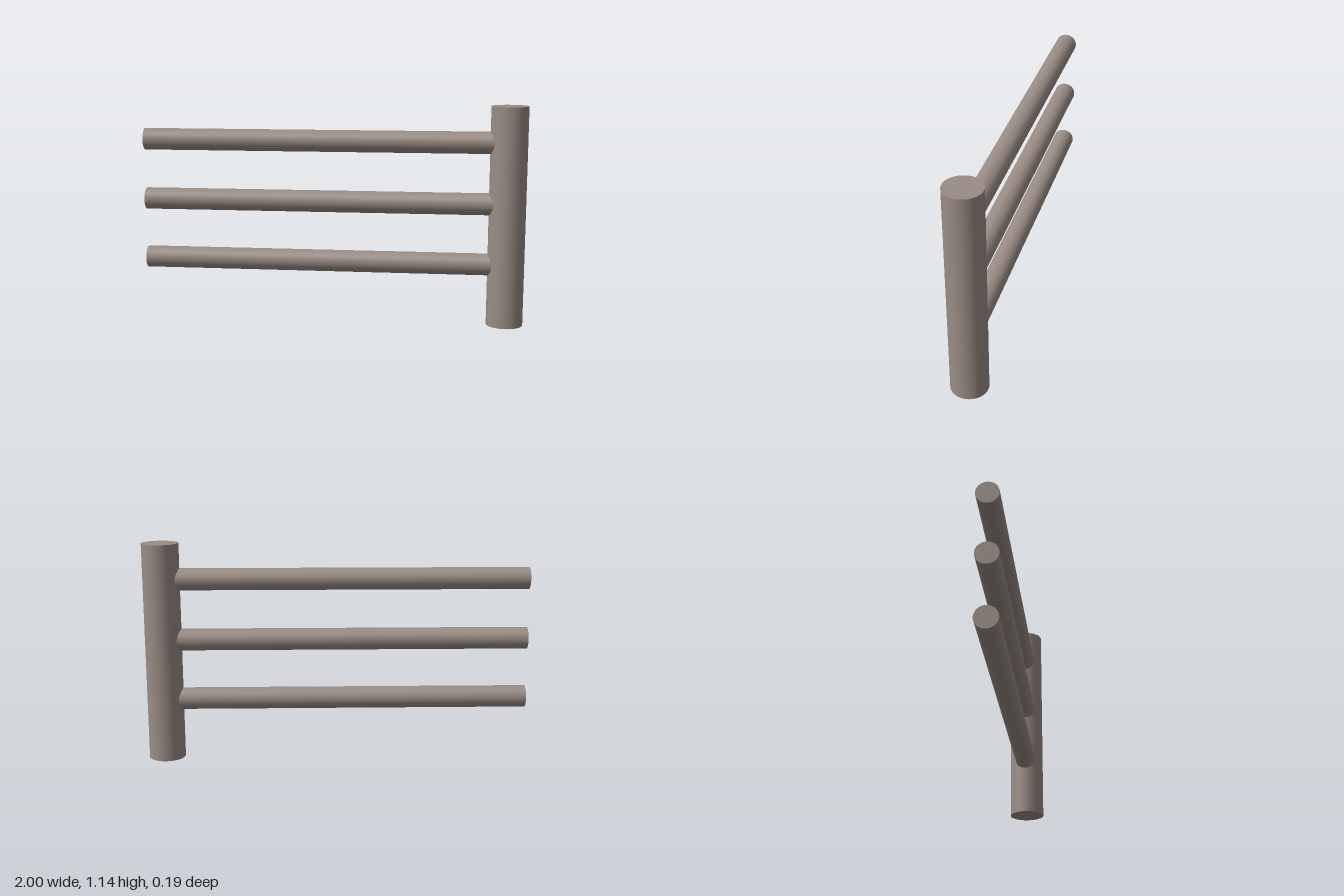
import * as THREE from 'three';

export function createModel() {
  const model = new THREE.Group();
  model.name = 'fenceSection';
  const wood = new THREE.MeshStandardMaterial({ color: 0x9a8c84 });
  wood.name = 'weathered wood';

  // Upright post at the left end
  const postRadius = 0.095, postHeight = 1.143, postX = 1 - postRadius;
  const post = new THREE.Mesh(
    new THREE.CylinderGeometry(postRadius, postRadius, postHeight, 48), wood);
  post.name = 'post';
  post.position.set(postX, postHeight / 2, 0);
  model.add(post);

  // Three round rails running from the open end into the post
  const railRadius = 0.057, railLength = postX + 1;
  const railGeometry = new THREE.CylinderGeometry(railRadius, railRadius, railLength, 40);
  railGeometry.rotateZ(Math.PI / 2);
  ['lowerRail', 'middleRail', 'upperRail'].forEach((name, i) => {
    const rail = new THREE.Mesh(railGeometry, wood);
    rail.name = name;
    rail.position.set(-1 + railLength / 2, 0.319 + i * 0.318, 0);
    model.add(rail);
  });

  return model;
}
